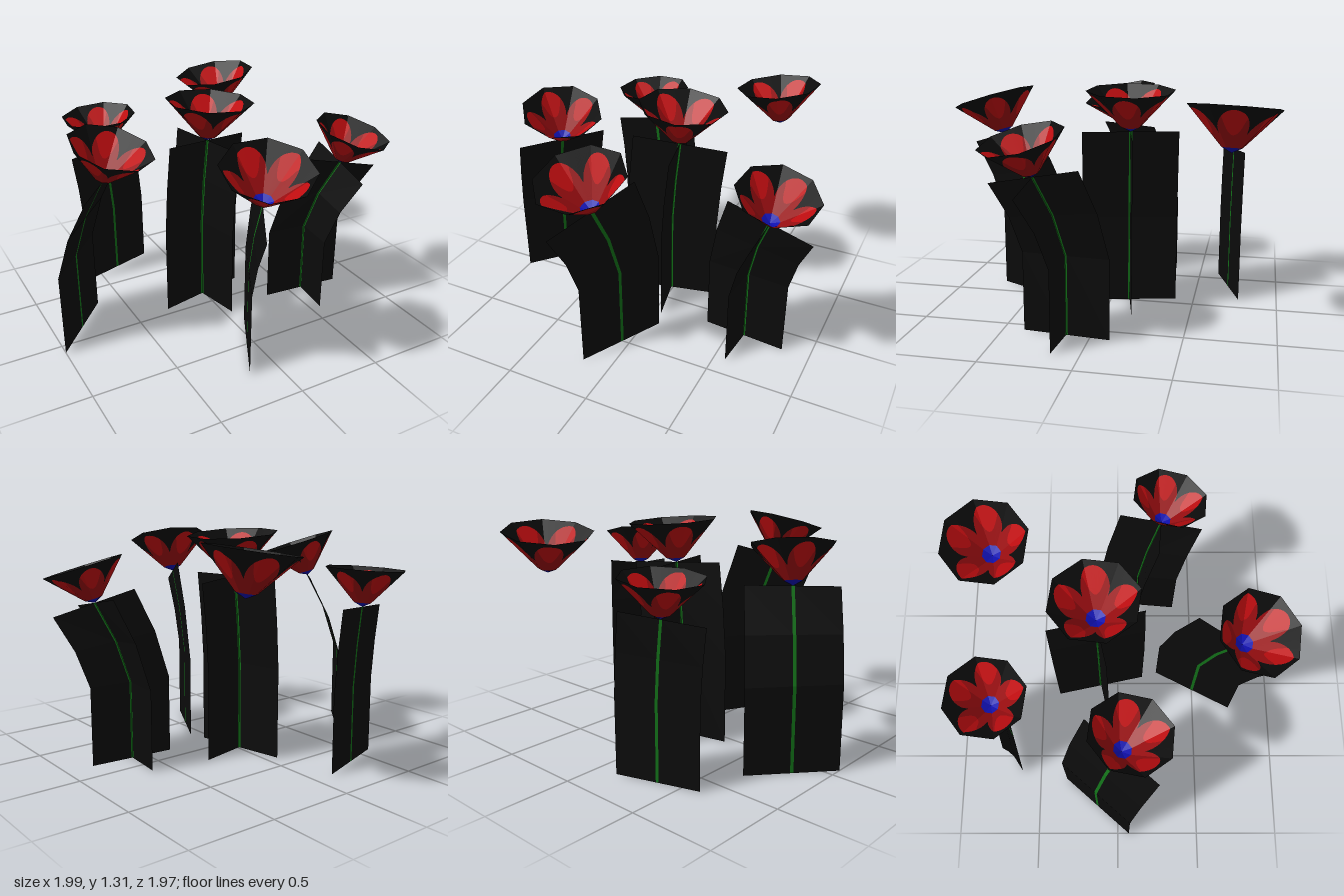
import * as THREE from 'three';

const mat = (name, color) =>
  new THREE.MeshStandardMaterial({ name, color, side: THREE.DoubleSide });

// Collects quads and returns a flat-shaded mesh
function quadMesh(name, material, quads) {
  const pos = [];
  for (const [a, b, c, d] of quads) pos.push(...a, ...b, ...c, ...a, ...c, ...d);
  const geo = new THREE.BufferGeometry();
  geo.setAttribute('position', new THREE.Float32BufferAttribute(pos, 3));
  geo.computeVertexNormals();
  const mesh = new THREE.Mesh(geo, material);
  mesh.name = name;
  return mesh;
}

const TILT = 1.6; // how strongly the lean tips the bloom and the card tops

// Flat card bent over near the top, with a narrow stalk down the middle
function stemCard(root, lean, height, half, m) {
  const rows = [[0, 0, 0], [0.5, 0, 0], [0.76, 0.4, 0.55], [1, 1, 1]];
  const point = (s, [h, move, tip]) => {
    const dx = half[0] * s, dz = half[1] * s;
    const drop = TILT * tip * (lean[0] * dx + lean[1] * dz);
    return [root[0] + lean[0] * move + dx, height * h - drop, root[1] + lean[1] * move + dz];
  };
  const strip = (s0, s1) => rows.slice(1).map((row, i) =>
    [point(s0, rows[i]), point(s1, rows[i]), point(s1, row), point(s0, row)]);
  const group = new THREE.Group();
  group.name = 'stemCard';
  group.add(
    quadMesh('leafCard', m.black, [...strip(-1, -0.035), ...strip(0.035, 1)]),
    quadMesh('stalk', m.green, strip(-0.035, 0.035)));
  return group;
}

// Eight-sided cup; five petals are marked out as bands of the cup wall
function bloom(radius, lean, petalTurn, m) {
  const COLS = 160;
  const rad = THREE.MathUtils.degToRad;
  const rimTurn = rad(-15);
  const rise = f => (f < 0.22 ? 0.5 * f : 0.11 + (f - 0.22) * 1.05);
  const point = (f, i) => {
    const side = Math.PI / 4;
    const a = (i / COLS) * Math.PI * 2;
    const r = radius * f * Math.cos(side / 2) / Math.cos((a % side) - side / 2);
    const dir = a + rimTurn;
    return [r * Math.sin(dir), radius * rise(f), -r * Math.cos(dir)];
  };
  // Band limits at a column: centre, blue heart, petal base, petal tip, rim
  const limits = i => {
    const period = Math.PI * 2 / 5;
    const a = (i / COLS) * Math.PI * 2 + rimTurn - petalTurn + period * 20.5;
    const phi = (a % period) - period / 2;
    const tip = 0.46 + 0.46 * Math.pow(Math.max(0, Math.cos(2.5 * phi)), 0.7);
    const spot = 0.46 * Math.sqrt(Math.max(0, 1 - (phi / rad(19)) ** 2));
    return [0, 0.22, tip - spot, tip, 1];
  };
  const bands = [['heart', m.blue], ['petalBases', m.darkRed], ['petalTips', m.red], ['cupRim', m.black]];
  const group = new THREE.Group();
  group.name = 'bloom';
  bands.forEach(([name, material], k) => {
    const quads = [];
    for (let i = 0; i < COLS; i++) {
      const a = limits(i), b = limits(i + 1);
      quads.push([point(a[k], i), point(b[k], i + 1), point(b[k + 1], i + 1), point(a[k + 1], i)]
        .reverse());
    }
    group.add(quadMesh(name, material, quads));
  });
  const up = new THREE.Vector3(lean[0] * TILT, 1, lean[1] * TILT).normalize();
  group.quaternion.setFromUnitVectors(new THREE.Vector3(0, 1, 0), up);
  return group;
}

export function createModel() {
  const m = {
    black: mat('black', 0x0b0b0b),
    green: mat('stalkGreen', 0x126f18),
    red: mat('petalRed', 0xc00d10),
    darkRed: mat('petalDarkRed', 0x980d10),
    blue: mat('heartBlue', 0x1010b0),
  };
  // root and lean are [x, z]; cards hold half-width vectors [x, z]
  const flowers = [
    { root: [-0.365, -0.695], lean: [-0.045, -0.005], height: 0.895, radius: 0.23, cards: [[0.235, -0.075]] },
    { root: [0.54, -0.69], lean: [-0.09, -0.03], height: 1.02, radius: 0.255, cards: [] },
    { root: [-0.012, -0.112], lean: [0.045, -0.008], height: 1.05, radius: 0.26, cards: [[0.277, -0.06], [0.06, 0.277]] },
    { root: [-0.825, -0.13], lean: [0.135, 0.15], height: 0.99, radius: 0.24, cards: [[0.175, -0.2]] },
    { root: [0.588, 0.135], lean: [0.142, 0.13], height: 0.91, radius: 0.23, cards: [[0.247, 0.022], [-0.022, 0.247]] },
    { root: [-0.045, 0.5], lean: [-0.045, 0.19], height: 1.0, radius: 0.25, turn: 0, cards: [[-0.125, 0.24]] },
  ];
  const model = new THREE.Group();
  model.name = 'flowerPatch';
  for (const { root, lean, height, radius, turn = 17, cards } of flowers) {
    const flower = new THREE.Group();
    flower.name = 'flower';
    for (const half of cards) flower.add(stemCard(root, lean, height, half, m));
    const head = bloom(radius, lean, THREE.MathUtils.degToRad(turn), m);
    head.position.set(root[0] + lean[0], height, root[1] + lean[1]);
    flower.add(head);
    model.add(flower);
  }
  return model;
}
